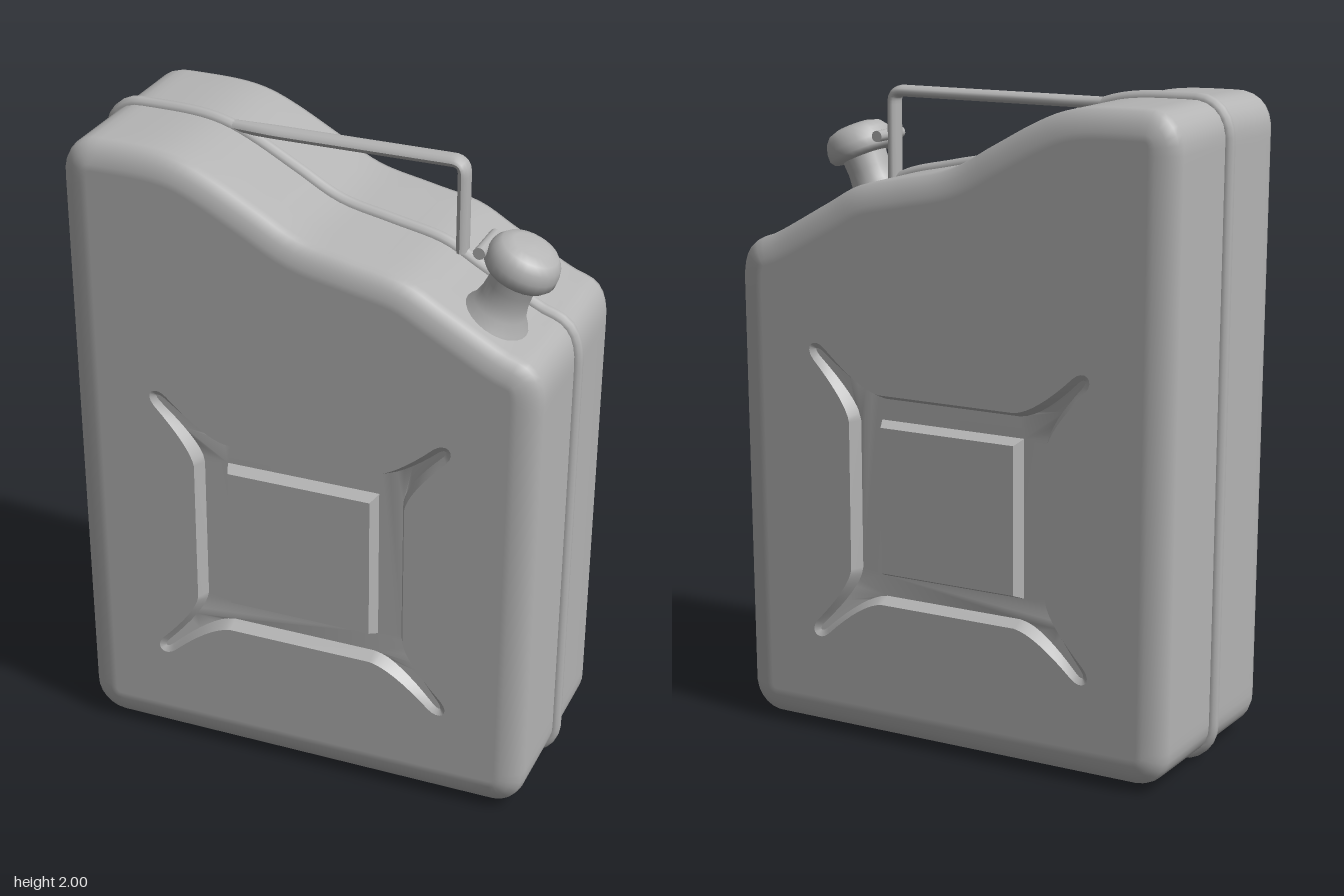
import * as THREE from 'three';

const V2 = (x, y) => new THREE.Vector2(x, y);

// Move a counter-clockwise loop inward along its normals
function inset(loop, d) {
  const n = loop.length;
  return loop.map((p, i) => {
    const t = loop[(i + 1) % n].clone().sub(loop[(i + n - 1) % n]).normalize();
    return V2(p.x - t.y * d, p.y + t.x * d);
  });
}

// Skin between closed rings; each ring is { loop, z } with z a number or a rule
function loft(rings) {
  const n = rings[0].loop.length, pos = [], idx = [];
  for (const { loop, z } of rings)
    for (const p of loop) pos.push(p.x, p.y, typeof z === 'function' ? z(p) : z);
  for (let r = 0; r < rings.length - 1; r++)
    for (let i = 0; i < n; i++) {
      const a = r * n + i, b = r * n + (i + 1) % n;
      idx.push(a, b, b + n, a, b + n, a + n);
    }
  const g = new THREE.BufferGeometry();
  g.setAttribute('position', new THREE.Float32BufferAttribute(pos, 3));
  g.setIndex(idx);
  return g;
}

// Flat panel with an optional hole, its depth given by a rule
function panel(loop, hole, z) {
  const shape = new THREE.Shape(loop);
  if (hole) shape.holes.push(new THREE.Path(hole));
  const g = new THREE.ShapeGeometry(shape), p = g.attributes.position;
  for (let i = 0; i < p.count; i++)
    p.setZ(i, typeof z === 'function' ? z(V2(p.getX(i), p.getY(i))) : z);
  return g;
}

function mirrorZ(geo) {
  const g = geo.clone().scale(1, 1, -1), ix = g.index;
  for (let i = 0; i < ix.count; i += 3) {
    const b = ix.getX(i + 1);
    ix.setX(i + 1, ix.getX(i + 2));
    ix.setX(i + 2, b);
  }
  return g;
}

// Outer silhouette of the can, counter-clockwise from the bottom left
function canOutline() {
  const s = new THREE.Shape(), k = 0.054;
  s.moveTo(-0.62, 0);
  s.lineTo(0.62, 0);
  s.bezierCurveTo(0.62 + 0.066, 0, 0.738, k, 0.738, 0.12);
  s.lineTo(0.748, 1.39);
  s.bezierCurveTo(0.748, 1.47, 0.725, 1.525, 0.66, 1.545);
  s.splineThru([[0.606, 1.567], [0.44, 1.66], [0.325, 1.722], [0.167, 1.758], [0.008, 1.795],
    [-0.124, 1.866], [-0.257, 1.938], [-0.36, 1.98], [-0.468, 1.997], [-0.63, 2]].map(p => V2(...p)));
  s.bezierCurveTo(-0.7, 2, -0.752, 1.95, -0.752, 1.87);
  s.lineTo(-0.738, 0.12);
  s.bezierCurveTo(-0.738, k, -0.62 - 0.066, 0, -0.62, 0);
  const pts = s.getSpacedPoints(200);
  pts.pop();
  return pts;
}

// Four-armed pressed recess, one quadrant mirrored around its centre
const CENTRE_Y = 0.765;
function recessOutline() {
  const side = new THREE.QuadraticBezierCurve(V2(0.335, 0.23), V2(0.345, 0.29), V2(0.46, 0.41)).getPoints(8);
  const tip = new THREE.CubicBezierCurve(V2(0.46, 0.41), V2(0.495, 0.45), V2(0.455, 0.48), V2(0.42, 0.447)).getPoints(8);
  const top = new THREE.QuadraticBezierCurve(V2(0.42, 0.447), V2(0.30, 0.335), V2(0.23, 0.325)).getPoints(8);
  const q = [...side, ...tip.slice(1), ...top.slice(1)];
  const turn = (sx, sy) => {
    const r = q.map(p => V2(p.x * sx, p.y * sy + CENTRE_Y));
    return sx * sy < 0 ? r.reverse() : r;
  };
  return [...turn(1, 1), ...turn(-1, 1), ...turn(-1, -1), ...turn(1, -1)];
}

const square = h => [[-h, -h], [h, -h], [h, h], [-h, h]].map(([x, y]) => V2(x, y + CENTRE_Y));

export function createModel() {
  const group = new THREE.Group();
  const steel = new THREE.MeshStandardMaterial({ color: 0xb4b4b4 });
  steel.name = 'grey steel';
  const add = (name, geo, parent = group) => {
    const m = new THREE.Mesh(geo, steel);
    m.name = name;
    parent.add(m);
    return m;
  };
  const addBothSides = (name, geo, flat = false) => {
    for (const [label, g] of [['front', geo], ['back', mirrorZ(geo)]]) {
      const out = flat ? g.toNonIndexed() : g;
      out.computeVertexNormals();
      add(label + name, out);
    }
  };

  // Body shells with softened edges
  const outline = canOutline(), FACE = 0.34;
  const ring = (d, z) => ({ loop: inset(outline, d), z });
  addBothSides('Shell', loft([ring(0.02, 0), ring(0.02, 0.2), ring(0.02, 0.29), ring(0.026, 0.312),
    ring(0.055, 0.33), ring(0.085, FACE), ring(0.105, FACE)]));

  // Large faces and their pressed recess, shallower toward the arm tips
  const recess = recessOutline();
  const floorZ = p => {
    const r = Math.hypot(p.x, p.y - CENTRE_Y);
    return FACE - 0.008 - 0.032 * THREE.MathUtils.clamp((0.66 - r) / 0.24, 0, 1);
  };
  const floorLoop = inset(recess, 0.018);
  addBothSides('Face', panel(inset(outline, 0.105), recess, FACE));
  addBothSides('RecessWall', loft([{ loop: recess, z: FACE }, { loop: floorLoop, z: floorZ }]));
  addBothSides('RecessFloor', panel(floorLoop, square(0.242), floorZ));

  // Raised square pad in the recess
  const padTop = 0.337;
  addBothSides('PadEdge', loft([{ loop: square(0.242), z: floorZ }, { loop: square(0.226), z: padTop }]), true);
  addBothSides('Pad', panel(square(0.226), null, padTop));

  // Welded seam around the middle
  const seamPath = new THREE.CatmullRomCurve3(inset(outline, 0.022).map(p => new THREE.Vector3(p.x, p.y, 0)), true);
  add('seam', new THREE.TubeGeometry(seamPath, 240, 0.022, 10, true));

  // Carrying handle: oval bar, narrowing where it meets the seam
  const V3 = (x, y) => new THREE.Vector3(x, y, 0);
  const bar = new THREE.CurvePath();
  bar.add(new THREE.LineCurve3(V3(-0.36, 1.953), V3(0.34, 1.953)));
  bar.add(new THREE.QuadraticBezierCurve3(V3(0.34, 1.953), V3(0.375, 1.953), V3(0.375, 1.918)));
  bar.add(new THREE.LineCurve3(V3(0.375, 1.918), V3(0.375, 1.68)));
  const handle = new THREE.TubeGeometry(bar, 90, 0.018, 12, false);
  const hp = handle.attributes.position;
  for (let i = 0; i < hp.count; i++)
    hp.setZ(i, hp.getZ(i) * (1.1 + 0.65 * THREE.MathUtils.smoothstep(hp.getX(i), -0.36, -0.18)));
  handle.computeVertexNormals();
  add('handle', handle);

  // Tilted spout with its cap and hinge pin
  const spout = new THREE.Group();
  spout.name = 'spout';
  spout.position.set(0.53, 1.57, 0.17);
  spout.rotation.z = -0.41;
  group.add(spout);
  const lathe = pts => new THREE.LatheGeometry(pts.map(p => V2(...p)), 24);
  add('neck', lathe([[0.118, -0.02], [0.1, 0.015], [0.08, 0.045], [0.071, 0.08], [0.068, 0.12], [0.072, 0.18]]), spout);
  add('cap', lathe([[0, 0.162], [0.07, 0.162], [0.098, 0.165], [0.109, 0.18], [0.109, 0.205],
    [0.102, 0.232], [0.085, 0.253], [0.055, 0.264], [0, 0.267]]), spout);
  const pin = add('hingePin', new THREE.CylinderGeometry(0.018, 0.018, 0.14, 12), spout);
  pin.rotation.x = Math.PI / 2;
  pin.position.set(-0.112, 0.195, 0);

  return group;
}
